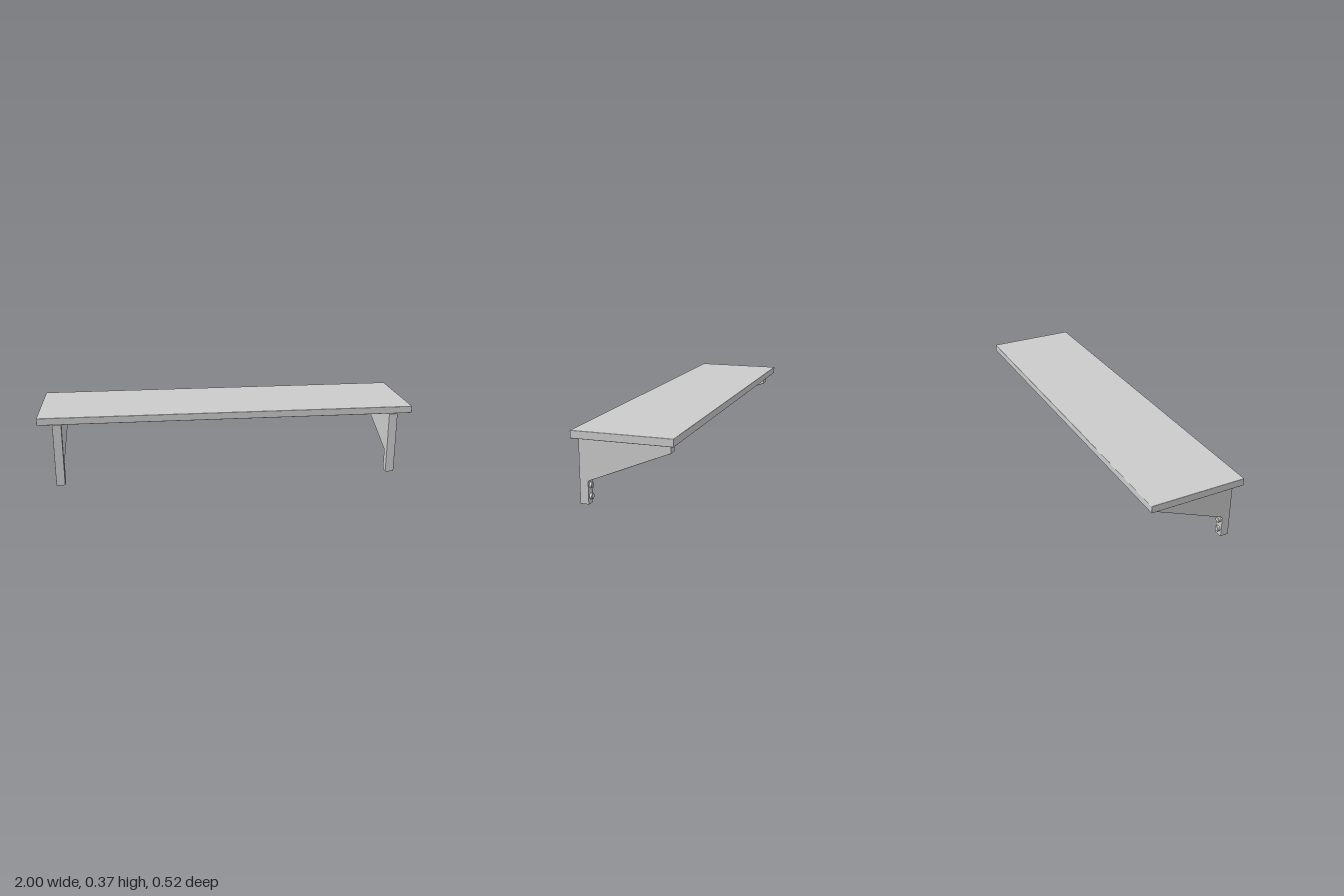
import * as THREE from 'three';
import { RoundedBoxGeometry } from 'three/addons/geometries/RoundedBoxGeometry.js';

const BEVEL = 0.003;

// Side profile of a bracket in (z, y), with a small fillet where leg meets brace
function bracketGeometry(width) {
  const b = BEVEL;
  const s = new THREE.Shape();
  s.moveTo(0.247 - b, b);
  s.lineTo(0.247 - b, 0.334 - b);
  s.lineTo(-0.206 + b, 0.334 - b);
  s.lineTo(-0.206 + b, 0.282 + b);
  s.lineTo(0.195, 0.121);
  s.quadraticCurveTo(0.203 + b, 0.117, 0.203 + b, 0.109);
  s.lineTo(0.203 + b, b);
  s.closePath();
  const depth = width - 2 * b;
  const geo = new THREE.ExtrudeGeometry(s, {
    depth, bevelEnabled: true, bevelSize: b, bevelThickness: b, bevelSegments: 2, curveSegments: 6,
  });
  geo.translate(0, 0, -depth / 2);
  geo.rotateY(-Math.PI / 2); // profile x becomes z
  return geo;
}

// Bolt head with a chamfered rim, pointing to the back
function boltGeometry() {
  const profile = [[0, 0], [0.0145, 0], [0.0145, 0.011], [0.0125, 0.013], [0, 0.013]]
    .map(([r, h]) => new THREE.Vector2(r, h));
  const geo = new THREE.LatheGeometry(profile, 24).toNonIndexed();
  geo.computeVertexNormals();
  return geo.rotateX(-Math.PI / 2);
}

export function createModel() {
  const material = new THREE.MeshStandardMaterial({ color: 0xcccccc });
  const model = new THREE.Group();
  model.name = 'wallShelf';

  const add = (parent, name, geo, x, y, z) => {
    const mesh = new THREE.Mesh(geo, material);
    mesh.name = name;
    mesh.position.set(x, y, z);
    parent.add(mesh);
  };

  // Board
  add(model, 'shelfBoard', new RoundedBoxGeometry(1.994, 0.038, 0.495, 2, BEVEL), 0, 0.355, 0);

  // Brackets, each with two bolts on the back of the leg
  const bracket = bracketGeometry(0.047);
  const bolt = boltGeometry();
  for (const side of [1, -1]) {
    const group = new THREE.Group();
    group.name = side > 0 ? 'leftBracket' : 'rightBracket';
    group.position.x = side * 0.8955;
    add(group, 'bracketPlate', bracket, 0, 0, 0);
    for (const y of [0.036, 0.09]) add(group, 'bolt', bolt, 0, y, 0.2035);
    model.add(group);
  }

  // The whole shelf sits very slightly turned
  model.rotation.y = 0.0125;
  const root = new THREE.Group();
  root.name = 'shelf';
  root.add(model);
  return root;
}
